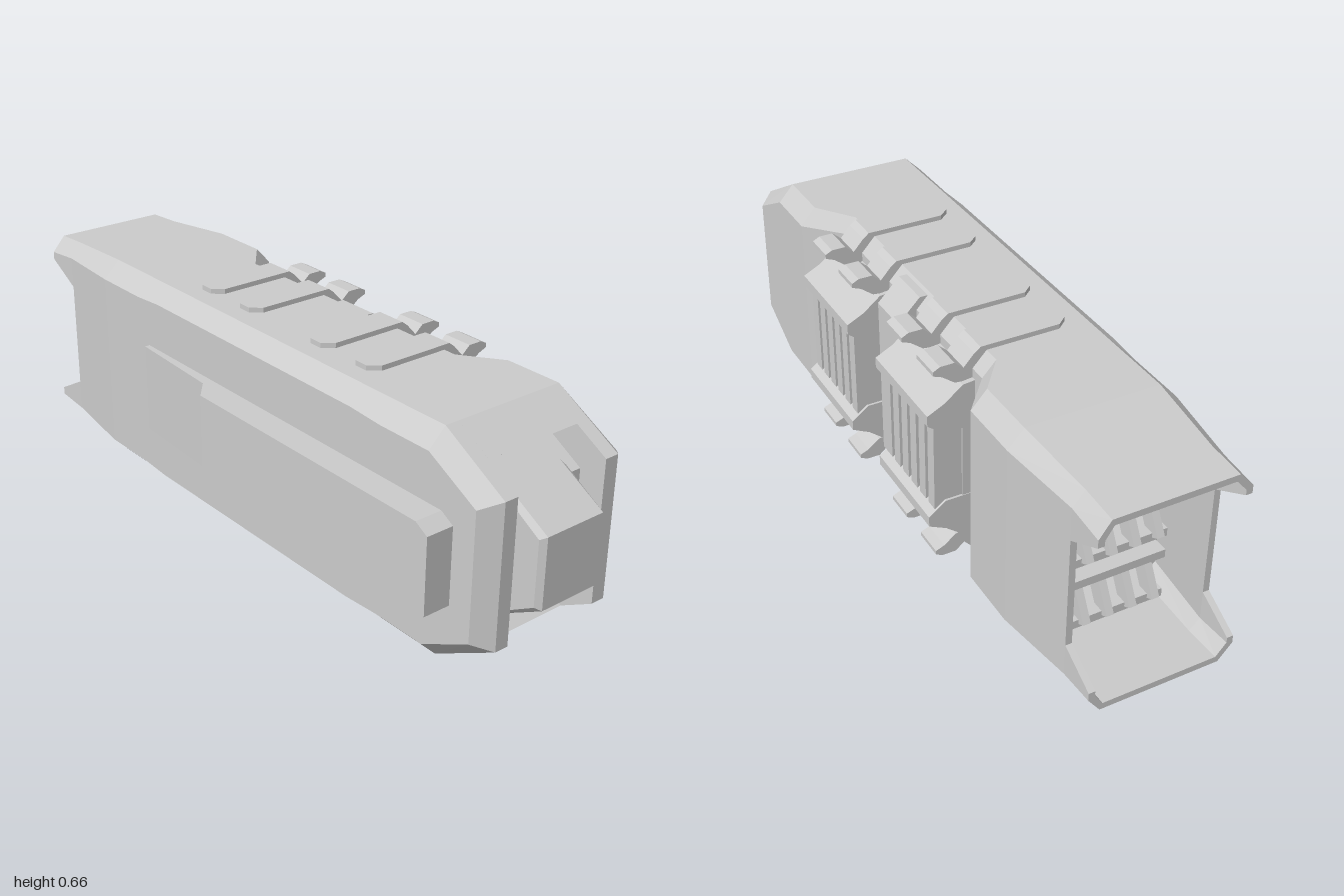
import * as THREE from 'three';

const MID = 0.329; // height of the top/bottom mirror plane
const material = new THREE.MeshStandardMaterial({ color: 0xcccccc, flatShading: true });
const shellMaterial = new THREE.MeshStandardMaterial({ color: 0xcccccc, flatShading: true, side: THREE.DoubleSide });
const flip = pts => pts.map(([a, y]) => [a, 2 * MID - y]);

// Prism of a profile from a to b along an axis: x takes (z, y), y takes (x, z), z takes (x, y)
function prism(name, axis, pts, a, b, bevel = 0) {
  const shape = new THREE.Shape(pts.map(p => new THREE.Vector2(...p)));
  const geo = new THREE.ExtrudeGeometry(shape, {
    depth: b - a - 2 * bevel, bevelEnabled: bevel > 0, bevelSize: bevel,
    bevelThickness: bevel, bevelOffset: -bevel, bevelSegments: 1
  });
  geo.translate(0, 0, bevel);
  if (axis === 'x') geo.rotateY(-Math.PI / 2).translate(b, 0, 0);
  if (axis === 'y') geo.rotateX(Math.PI / 2).translate(0, b, 0);
  if (axis === 'z') geo.translate(0, 0, a);
  const mesh = new THREE.Mesh(geo, material);
  mesh.name = name;
  return mesh;
}

function box(name, w, h, d, x, y, z) {
  const mesh = new THREE.Mesh(new THREE.BoxGeometry(w, h, d), material);
  mesh.name = name;
  mesh.position.set(x, y, z);
  return mesh;
}

// Chamfered cross-section; t insets it for the inner wall, zSide sets the flanks back
function ring({ z, zSide = z, L = -0.22, Lt = -0.17, Rt = 0.205, R = 0.25, top = 0.643, side = 0.593, mid = 0.49 }, t = 0) {
  const k = t * 0.42, f = y => 2 * MID - y;
  const T = top - t, S = side - k, r = R - t, l = L + t, rt = Rt - k, lt = Lt + k;
  return [
    [r, f(S), zSide], [r, f(mid), zSide], [r, mid, zSide], [r, S, zSide], [rt, T, z], [lt, T, z],
    [l, S, zSide], [l, mid, zSide], [l, f(mid), zSide], [l, f(S), zSide], [lt, f(T), z], [rt, f(T), z]
  ];
}

function buildHull() {
  const recess = { Rt: 0.125, R: 0.165, side: 0.6 };
  const tail = { L: -0.192, Lt: -0.152, Rt: 0.187, R: 0.22 };
  const stations = [
    { z: 0.95, zSide: 0.91, top: 0.53, side: 0.508, mid: 0.45 },
    { z: 0.75 }, { z: 0.58 },
    { z: 0.47, ...recess }, { z: -0.37, ...recess },
    { z: -0.47 }, { z: -0.65 },
    { z: -0.89, ...tail, top: 0.624, side: 0.583 },
    { z: -1, ...tail, top: 0.618, side: 0.573, mid: 0.55 }
  ];
  const pos = [];
  const quad = (a, b, c, d) => pos.push(...a, ...b, ...c, ...a, ...c, ...d);
  const outer = stations.map(s => ring(s));
  const inner = stations.map(s => ring(s, 0.018));
  const last = stations.length - 1;
  const isFlank = i => i === 1 || i === 7;
  for (let s = 0; s < last; s++) {
    for (let i = 0; i < 12; i++) {
      const j = (i + 1) % 12, A = outer[s], B = outer[s + 1];
      if (s === 0 && (i === 4 || i === 10)) continue; // filled by the nose
      if (s === last - 1 && isFlank(i)) continue;     // notch in the rear flanks
      quad(A[i], B[i], B[j], A[j]);
      if (s >= last - 2) quad(inner[s][i], inner[s][j], inner[s + 1][j], inner[s + 1][i]);
    }
  }
  // Vertical chamfers of the nose
  const F = outer[0];
  quad(F[0], F[3], F[4], F[11]);
  quad(F[5], F[6], F[9], F[10]);
  // Rear rim, notch edges and inner bulkhead
  const bulk = inner[last - 2];
  for (let i = 0; i < 12; i++) {
    const j = (i + 1) % 12, s = isFlank(i) ? last - 1 : last;
    quad(outer[s][i], inner[s][i], inner[s][j], outer[s][j]);
    pos.push(0.015, MID, -0.65, ...bulk[j], ...bulk[i]);
  }
  for (const i of [1, 2, 7, 8]) quad(outer[last - 1][i], outer[last][i], inner[last][i], inner[last - 1][i]);
  const geo = new THREE.BufferGeometry();
  geo.setAttribute('position', new THREE.Float32BufferAttribute(pos, 3));
  geo.computeVertexNormals();
  const mesh = new THREE.Mesh(geo, shellMaterial);
  mesh.name = 'hull';
  return mesh;
}

function buildNose() {
  const group = new THREE.Group();
  group.name = 'nose';
  const mirrored = pts => [...pts, ...flip(pts).reverse()];
  const cheek = mirrored([[0.75, 0.643], [0.95, 0.53]]);
  group.add(prism('rightCheek', 'x', cheek, -0.17, -0.13), prism('leftCheek', 'x', cheek, 0.163, 0.205));
  // Recessed centre with a groove at top and bottom
  group.add(prism('recessedFace', 'x', mirrored([[0.75, 0.643], [0.853, 0.585], [0.78, 0.53], [0.875, 0.475]]), -0.13, 0.163));
  group.add(prism('frontBlock', 'x', mirrored([[0.855, 0.51], [1, 0.428]]), -0.09, 0.123, 0.014));
  return group;
}

// Clamp wrapping over the top or bottom edge, with a hooked prong
function buildClamp(z, lower) {
  const group = new THREE.Group();
  group.name = 'clamp';
  const w = 0.045;
  const strap = [[-0.115, z - 0.02], [-0.085, z - w], [0.142, z - w], [0.142, z + w], [-0.085, z + w], [-0.115, z + 0.02]];
  group.add(lower ? prism('strap', 'y', strap, 0, 0.03) : prism('strap', 'y', strap, 0.628, 0.657));
  const hook = [[0.11, 0.63], [0.142, 0.657], [0.16, 0.643], [0.19, 0.61], [0.215, 0.632], [0.255, 0.632],
    [0.275, 0.622], [0.275, 0.61], [0.25, 0.6], [0.215, 0.573], [0.15, 0.565]];
  group.add(prism('prong', 'z', lower ? flip(hook) : hook, z - w, z + w));
  return group;
}

function buildGrille(z) {
  const group = new THREE.Group();
  group.name = 'grille';
  const rail = [[0.15, 0.575], [0.2, 0.57], [0.25, 0.53], [0.3, 0.505], [0.3, 0.475], [0.25, 0.438], [0.15, 0.438]];
  group.add(prism('upperRail', 'z', rail, z - 0.152, z + 0.152));
  group.add(prism('lowerRail', 'z', flip(rail), z - 0.152, z + 0.152));
  group.add(box('backing', 0.06, 0.26, 0.3, 0.17, MID, z));
  for (let i = 0; i < 6; i++) {
    group.add(box('slat', 0.12, 0.26, 0.035, 0.22, MID, z + (i - 2.5) * 0.051));
  }
  return group;
}

function buildSidePanel() {
  const group = new THREE.Group();
  group.name = 'sidePanel';
  const plan = [[-0.2, 0.8], [-0.3, 0.8], [-0.3, -0.05], [-0.25, -0.11], [-0.235, -0.42], [-0.2, -0.42]];
  group.add(prism('panel', 'y', plan, 0.198, 0.46));
  group.add(prism('panelFront', 'x', [[0.8, 0.198], [0.84, 0.222], [0.84, 0.437], [0.8, 0.46]], -0.3, -0.2));
  return group;
}

// Rows of slanted fins inside the rear opening
function buildRearFins() {
  const group = new THREE.Group();
  group.name = 'rearFins';
  for (const y of [0.13, 0.33, 0.53]) {
    for (const dy of [-0.065, 0.065]) group.add(box('finBar', 0.34, 0.025, 0.1, 0.015, y + dy, -0.7));
    for (let i = 0; i < 5; i++) {
      const fin = box('fin', 0.022, 0.15, 0.05, 0.015 + (i - 2) * 0.068, y, -0.715);
      fin.rotation.x = 0.5;
      group.add(fin);
    }
  }
  return group;
}

export function createModel() {
  const model = new THREE.Group();
  model.name = 'model';
  model.add(buildHull(), buildNose(), buildSidePanel(), buildRearFins());
  for (const z of [0.303, -0.182]) model.add(buildGrille(z));
  for (const z of [0.387, 0.208, -0.098, -0.275]) model.add(buildClamp(z, false), buildClamp(z, true));
  // Rib between the grilles
  const rib = [[0.11, 0.636], [0.155, 0.636], [0.22, 0.57]];
  model.add(prism('centreRib', 'z', [...rib, ...flip(rib).reverse()], -0.005, 0.12));
  return model;
}
